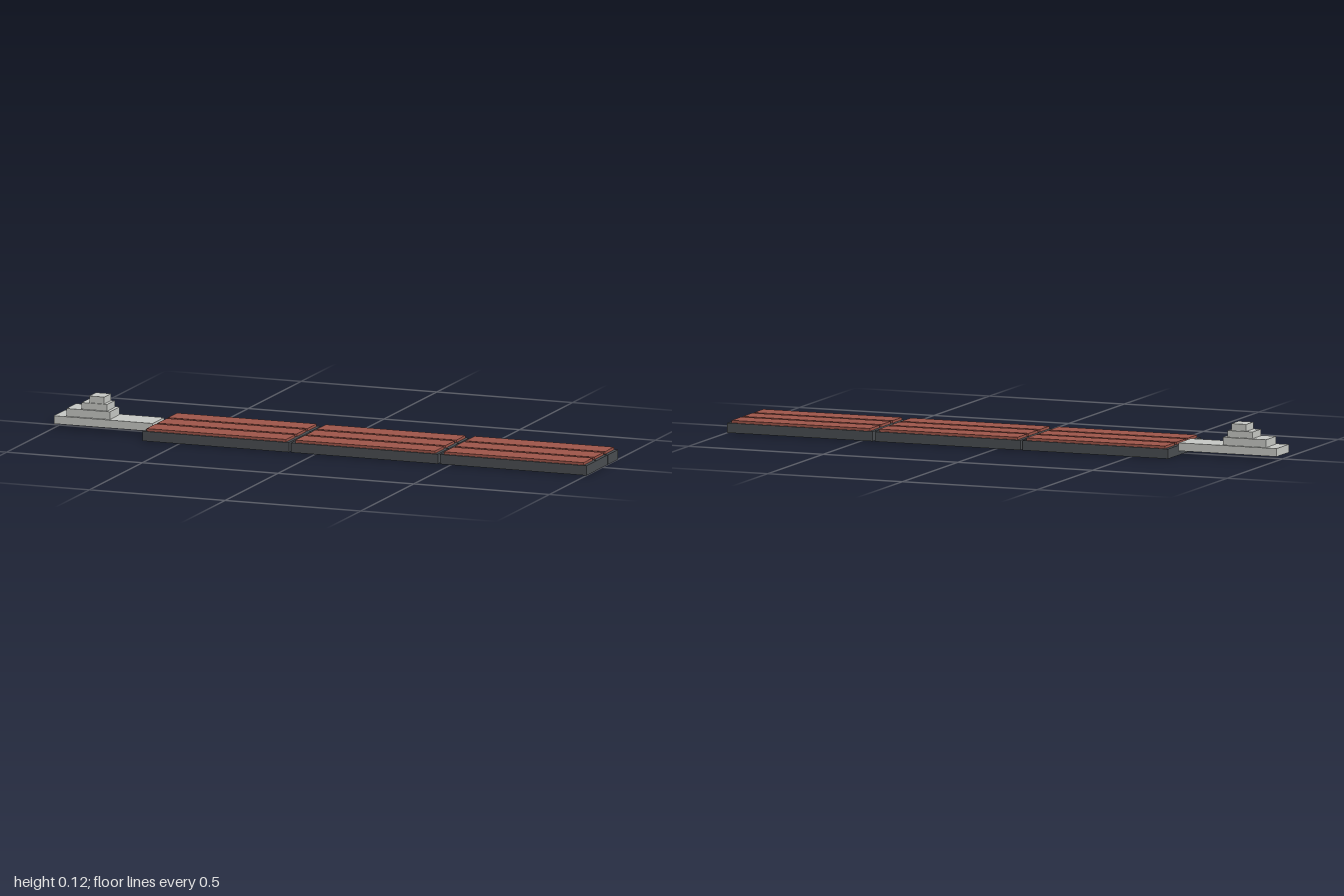
import * as THREE from 'three';

const hullMat = new THREE.MeshStandardMaterial({ name: 'dark hull', color: 0x4a4e52 });
const coverMat = new THREE.MeshStandardMaterial({ name: 'rust red cover', color: 0xa0564a });
const boatMat = new THREE.MeshStandardMaterial({ name: 'pale grey', color: 0xc8cac6 });

// Box given by its x, y and z ranges
function block(name, mat, [x0, x1], [y0, y1], [z0, z1]) {
  const mesh = new THREE.Mesh(new THREE.BoxGeometry(x1 - x0, y1 - y0, z1 - z0), mat);
  mesh.position.set((x0 + x1) / 2, (y0 + y1) / 2, (z0 + z1) / 2);
  mesh.name = name;
  return mesh;
}

// Cargo barge: dark hull with a raised hatch cover
function createBarge() {
  const barge = new THREE.Group();
  barge.name = 'barge';
  barge.add(
    block('bargeHull', hullMat, [-0.27, 0.27], [0, 0.034], [-0.049, 0.049]),
    block('hatchCover', coverMat, [-0.257, 0.257], [0.034, 0.043], [-0.043, 0.043])
  );
  return barge;
}

// Push boat: flat hull with a stepped deckhouse
function createPushBoat() {
  const boat = new THREE.Group();
  boat.name = 'pushBoat';
  boat.add(
    block('boatHull', boatMat, [-1, -0.636], [0.015, 0.043], [-0.055, 0.055]),
    block('mainCabin', boatMat, [-0.957, -0.797], [0.043, 0.07], [-0.046, 0.046]),
    block('upperCabin', boatMat, [-0.904, -0.81], [0.07, 0.093], [-0.037, 0.037]),
    block('wheelhouse', boatMat, [-0.878, -0.823], [0.093, 0.117], [-0.032, 0.032])
  );
  return boat;
}

export function createModel() {
  const model = new THREE.Group();
  model.name = 'bargeTow';

  // Three by three raft of barges
  for (let col = 0; col < 3; col++) {
    for (let row = -1; row <= 1; row++) {
      const barge = createBarge();
      barge.position.set(-0.366 + col * 0.548, 0, row * 0.101);
      model.add(barge);
    }
  }
  model.add(createPushBoat());
  return model;
}
